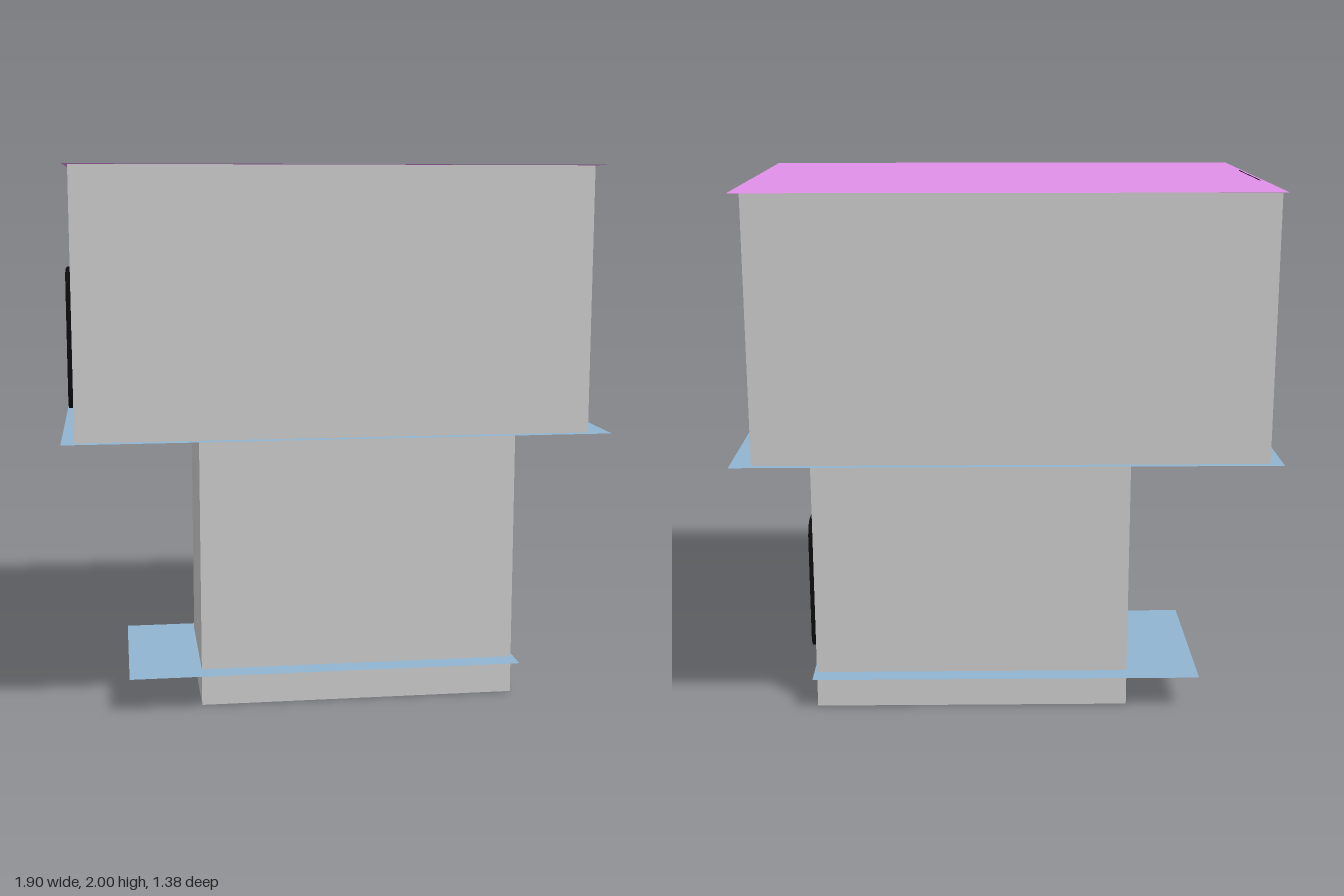
import * as THREE from 'three';

const mat = (color) => new THREE.MeshStandardMaterial({ color, side: THREE.DoubleSide, flatShading: true });

export function createModel() {
  const model = new THREE.Group();
  const grey = mat(0xcccccc), blue = mat(0x90b4d0), pink = mat(0xe090e8), black = mat(0x0c0c0c);

  const add = (parent, name, geometry, material) => {
    const mesh = new THREE.Mesh(geometry, material);
    mesh.name = name;
    parent.add(mesh);
    return mesh;
  };

  // Horizontal sheet facing up
  const sheet = (name, x0, x1, z0, z1, y, material) =>
    add(model, name, new THREE.PlaneGeometry(x1 - x0, z1 - z0).rotateX(-Math.PI / 2)
      .translate((x0 + x1) / 2, y, (z0 + z1) / 2), material);

  // Thin wall across x (facing +z or -z)
  const longWall = (name, x0, x1, y0, y1, z) => {
    const g = new THREE.PlaneGeometry(x1 - x0, y1 - y0);
    if (z < 0) g.rotateY(Math.PI);
    add(model, name, g.translate((x0 + x1) / 2, (y0 + y1) / 2, z), grey);
  };

  // Thin wall across z (dir is the side it faces)
  const endWall = (name, z0, z1, y0, y1, x, dir) =>
    add(model, name, new THREE.PlaneGeometry(z1 - z0, y1 - y0).rotateY(dir * Math.PI / 2)
      .translate(x, (y0 + y1) / 2, (z0 + z1) / 2), grey);

  // Rounded window outline, centred on cx with its sill at y0
  const windowPath = (path, cx, y0) => {
    const w = 0.152, h = 0.515, r = 0.065;
    path.moveTo(cx - w + r, y0);
    path.lineTo(cx + w - r, y0);
    path.absarc(cx + w - r, y0 + r, r, -Math.PI / 2, 0);
    path.lineTo(cx + w, y0 + h - r);
    path.absarc(cx + w - r, y0 + h - r, r, 0, Math.PI / 2);
    path.lineTo(cx - w + r, y0 + h);
    path.absarc(cx - w + r, y0 + h - r, r, Math.PI / 2, Math.PI);
    path.lineTo(cx - w, y0 + r);
    path.absarc(cx - w + r, y0 + r, r, Math.PI, Math.PI * 1.5);
    return path;
  };

  // Door panel with a window hole and a projecting window rim
  const door = (name, x, dir, y0) => {
    const group = new THREE.Group();
    group.name = name;
    const panel = new THREE.Shape();
    const half = 0.222, height = 0.93;
    panel.moveTo(-half, 0).lineTo(half, 0).lineTo(half, height).lineTo(-half, height).closePath();
    panel.holes.push(windowPath(new THREE.Path(), 0, 0.042));
    add(group, name + 'Panel', new THREE.ShapeGeometry(panel, 8), black);

    // Rim: the window outline swept outwards in quads
    const pts = windowPath(new THREE.Path(), 0, 0.042).getPoints(8);
    const pos = [], index = [];
    pts.forEach((p, i) => {
      pos.push(p.x, p.y, 0, p.x, p.y, 0.028);
      const a = 2 * i, b = 2 * ((i + 1) % pts.length);
      index.push(a, b, b + 1, a, b + 1, a + 1);
    });
    const rim = new THREE.BufferGeometry();
    rim.setAttribute('position', new THREE.Float32BufferAttribute(pos, 3));
    rim.setIndex(index);
    rim.computeVertexNormals();
    add(group, name + 'WindowRim', rim, black);

    group.rotation.y = dir * Math.PI / 2;
    group.position.set(x, y0, -0.006);
    model.add(group);
  };

  // Lower storey: walls run below the floor, open doorway end at +x
  sheet('lowerFloor', -0.74, 0.73, -0.35, 0.35, 0.14, blue);
  longWall('lowerFrontWall', -0.47, 0.72, 0, 1.07, 0.26);
  longWall('lowerBackWall', -0.47, 0.72, 0, 1.07, -0.275);
  endWall('lowerEndWall', -0.275, 0.26, 0, 1.07, -0.47, -1);
  endWall('lowerDoorwayFrontStrip', 0.215, 0.26, 0, 1.07, 0.72, 1);
  endWall('lowerDoorwayBackStrip', -0.275, -0.23, 0, 1.07, 0.72, 1);
  door('lowerDoor', 0.722, 1, 0.142);

  // Upper storey: wider, with a full-height gap at +x and a door at -x
  sheet('upperFloor', -0.955, 0.95, -0.69, 0.685, 1.073, blue);
  longWall('upperFrontWall', -0.91, 0.875, 1.073, 1.998, 0.65);
  longWall('upperBackWall', -0.91, 0.875, 1.073, 1.998, -0.665);
  endWall('upperDoorWall', -0.665, 0.65, 1.073, 1.998, -0.91, -1);
  endWall('upperGapFrontStrip', 0.215, 0.65, 1.073, 1.998, 0.875, 1);
  endWall('upperGapBackStrip', -0.665, -0.23, 1.073, 1.998, 0.875, 1);
  door('upperDoor', -0.914, -1, 1.073);

  // Flat roof
  sheet('roof', -0.93, 0.915, -0.675, 0.655, 2, pink);

  return model;
}
